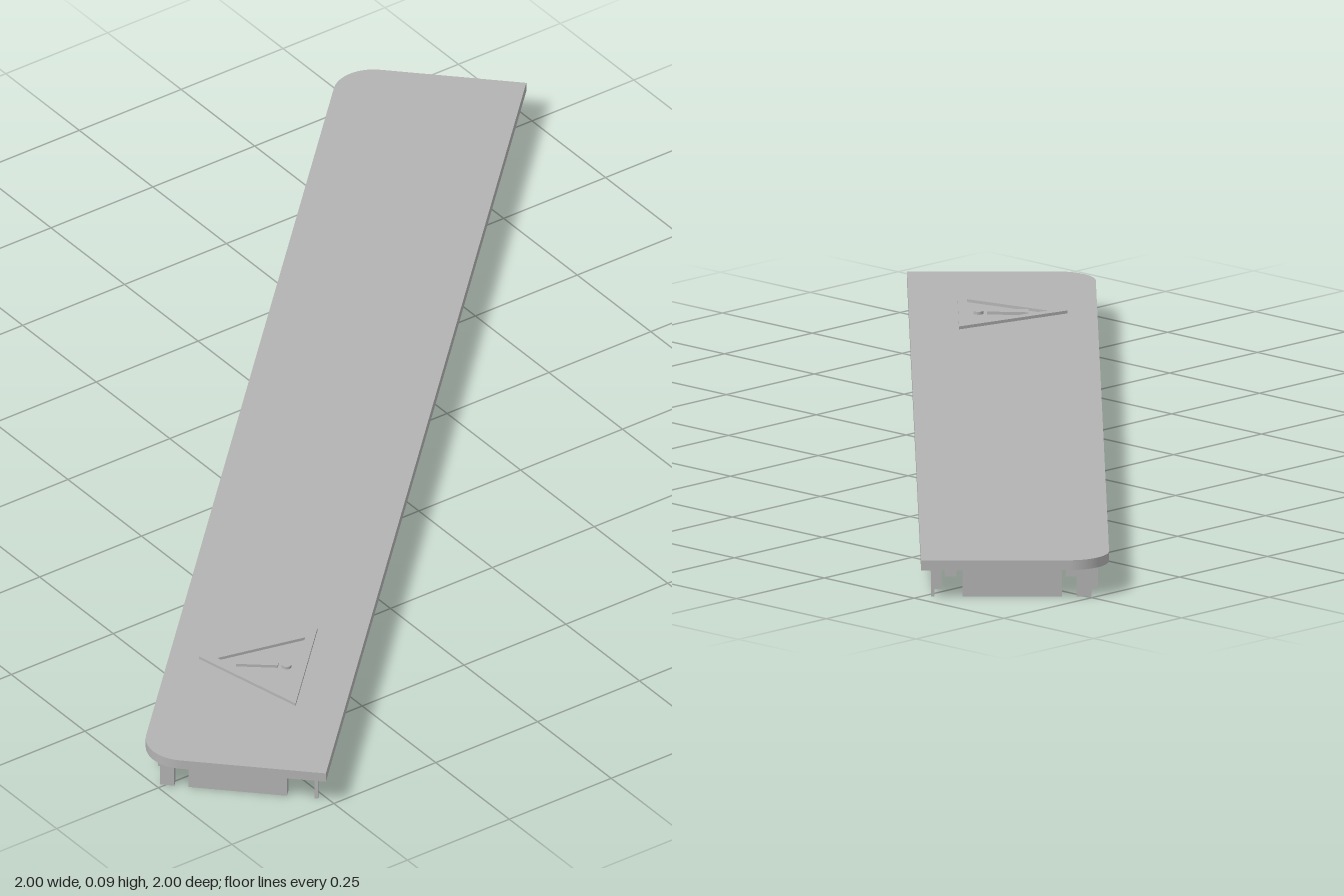
import * as THREE from 'three';

const grey = new THREE.MeshStandardMaterial({ color: 0xb3b3b3 });
grey.name = 'light grey plastic';

// Extrudes a plan outline (x along the cover, y across it) downward from height top.
function slab(name, shape, top, depth) {
  const geo = new THREE.ExtrudeGeometry(shape, { depth, bevelEnabled: false, curveSegments: 10 });
  geo.rotateX(Math.PI / 2);
  const mesh = new THREE.Mesh(geo, grey);
  mesh.position.y = top;
  mesh.name = name;
  return mesh;
}

// Box given by its limits along the cover (u), in height (y) and across (v).
function block(name, u0, u1, y0, y1, v0, v1) {
  const mesh = new THREE.Mesh(new THREE.BoxGeometry(u1 - u0, y1 - y0, v1 - v0), grey);
  mesh.position.set((u0 + u1) / 2, (y0 + y1) / 2, (v0 + v1) / 2);
  mesh.name = name;
  return mesh;
}

const polygon = (points) => new THREE.Shape(points.map(([x, y]) => new THREE.Vector2(x, y)));

export function createModel() {
  const group = new THREE.Group();
  group.name = 'cover';
  const body = new THREE.Group();
  body.name = 'coverBody';
  body.rotation.y = Math.PI / 4;
  group.add(body);

  // Lid: two square corners in front, two rounded ones behind
  const L = 1.252, front = 0.163, back = -0.212, r = 0.08, under = 0.06;
  const lid = new THREE.Shape();
  lid.moveTo(L, front);
  lid.lineTo(-L, front);
  lid.lineTo(-L, back + r);
  lid.absarc(-L + r, back + r, r, Math.PI, Math.PI * 1.5, false);
  lid.lineTo(L - r, back);
  lid.absarc(L - r, back + r, r, Math.PI * 1.5, Math.PI * 2, false);
  lid.closePath();
  body.add(slab('lid', lid, 0.08, 0.02));

  // Long rails under the lid
  body.add(block('frontRail', -1.16, 1.16, 0, under, 0.121, 0.141));
  body.add(block('backRail', -1.16, 1.16, 0, under, -0.19, -0.17));

  // End tabs, corner posts and small ribs, mirrored to both ends
  for (const s of [-1, 1]) {
    const atEnd = (name, a, b, y0, v0, v1) =>
      body.add(block(name, Math.min(s * a, s * b), Math.max(s * a, s * b), y0, under, v0, v1));
    atEnd('endTab', 1.205, 1.225, 0, -0.118, 0.08);
    atEnd('roundCornerPost', 1.21, 1.225, 0, -0.176, -0.147);
    atEnd('squareCornerPost', 1.217, 1.225, 0, 0.136, 0.143);
    atEnd('frontRib', 1.185, 1.2, 0.035, 0.092, 0.116);
    atEnd('backRib', 1.185, 1.2, 0.035, -0.15, -0.126);
  }

  // Raised warning sign: triangular frame with a tapered bar and a dot
  const c = -0.887, top = 0.086, h = 0.006;
  const triangle = (k) => [[0, -0.152], [0.136, 0.065], [-0.136, 0.065]]
    .map(([x, y]) => [c + x * k, -0.007 + (y + 0.007) * k]);
  const frame = polygon(triangle(1));
  frame.holes.push(new THREE.Path(triangle(0.74).reverse().map(([x, y]) => new THREE.Vector2(x, y))));
  body.add(slab('signFrame', frame, top, h));
  const bar = polygon([[c - 0.015, -0.075], [c + 0.015, -0.075], [c + 0.007, 0.008], [c - 0.007, 0.008]]);
  body.add(slab('signBar', bar, top, h));
  const dot = new THREE.Shape().absarc(c, 0.025, 0.01, 0, Math.PI * 2, false);
  body.add(slab('signDot', dot, top, h));

  return group;
}
